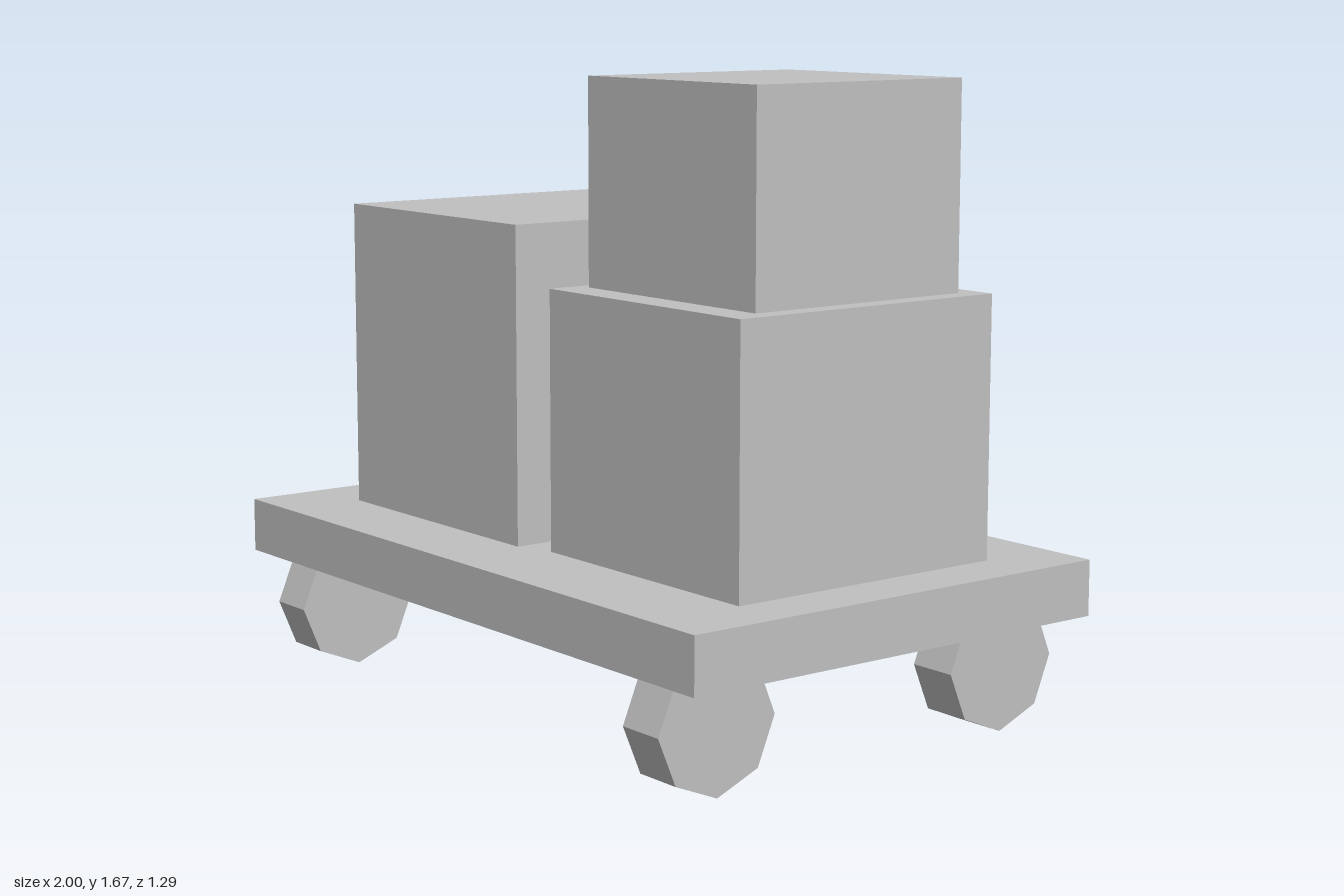
import * as THREE from 'three';

export function createModel() {
  const root = new THREE.Group();
  root.name = 'loadedCart';
  const grey = new THREE.MeshStandardMaterial({ color: 0xc0c0c0 });
  grey.name = 'plain grey';
  grey.flatShading = true;

  // Box given by its lower and upper corners
  const addBox = (name, [x0, y0, z0], [x1, y1, z1]) => {
    const mesh = new THREE.Mesh(new THREE.BoxGeometry(x1 - x0, y1 - y0, z1 - z0), grey);
    mesh.position.set((x0 + x1) / 2, (y0 + y1) / 2, (z0 + z1) / 2);
    mesh.name = name;
    root.add(mesh);
  };

  // Flat deck and its cargo
  addBox('deck', [-1, 0.303, -0.645], [1, 0.45, 0.645]);
  addBox('largeCrate', [-0.803, 0.45, -0.421], [-0.019, 1.291, 0.419]);
  addBox('lowerCrate', [0.085, 0.45, -0.431], [0.846, 1.134, 0.387]);
  addBox('upperCrate', [0.124, 1.134, -0.371], [0.787, 1.672, 0.292]);

  // Four eight-sided wheels, tucked into the underside of the deck
  const radius = 0.177;
  const wheelGeometry = new THREE.CylinderGeometry(radius, radius, 0.135, 8).rotateZ(Math.PI / 2);
  for (const [side, x] of [['left', 0.799], ['right', -0.803]]) {
    for (const [end, z] of [['Front', 0.468], ['Back', -0.468]]) {
      const wheel = new THREE.Mesh(wheelGeometry, grey);
      wheel.position.set(x, radius, z);
      wheel.name = `${side}${end}Wheel`;
      root.add(wheel);
    }
  }
  return root;
}
